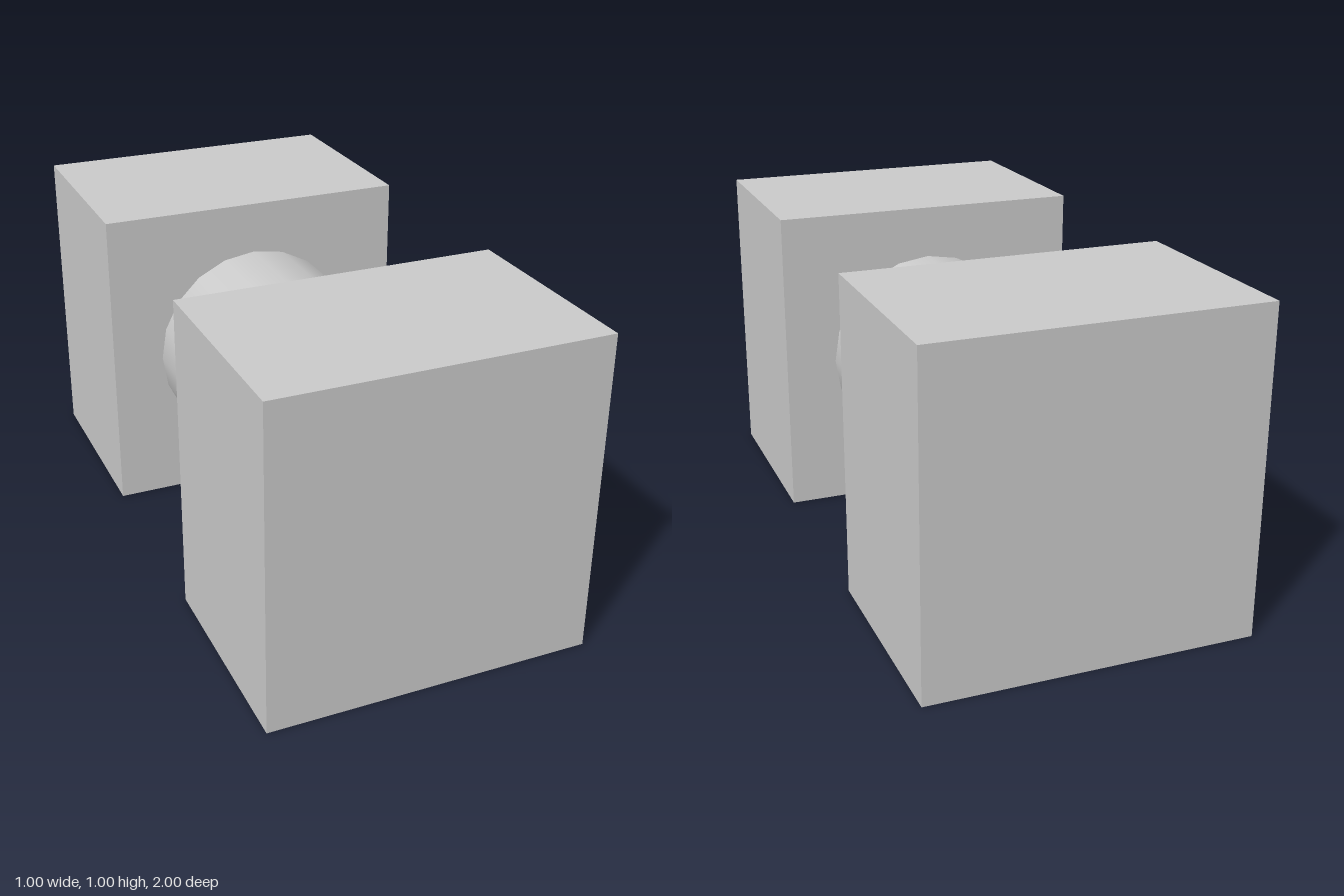
import * as THREE from 'three';

export function createModel() {
  const model = new THREE.Group();
  const material = new THREE.MeshStandardMaterial({ color: 0xcccccc });
  const third = 2 / 3; // each part takes a third of the length

  const add = (name, geometry, z) => {
    const mesh = new THREE.Mesh(geometry, material);
    mesh.name = name;
    mesh.position.set(0, 0.5, z);
    model.add(mesh);
  };

  // Square end blocks
  const block = new THREE.BoxGeometry(1, 1, third);
  add('frontBlock', block, third);
  add('backBlock', block, -third);

  // Round bar joining the blocks; its ends are covered by them
  const bar = new THREE.CylinderGeometry(third / 2, third / 2, third, 20, 1, true);
  bar.rotateX(Math.PI / 2);
  add('connectingBar', bar, 0);

  return model;
}
